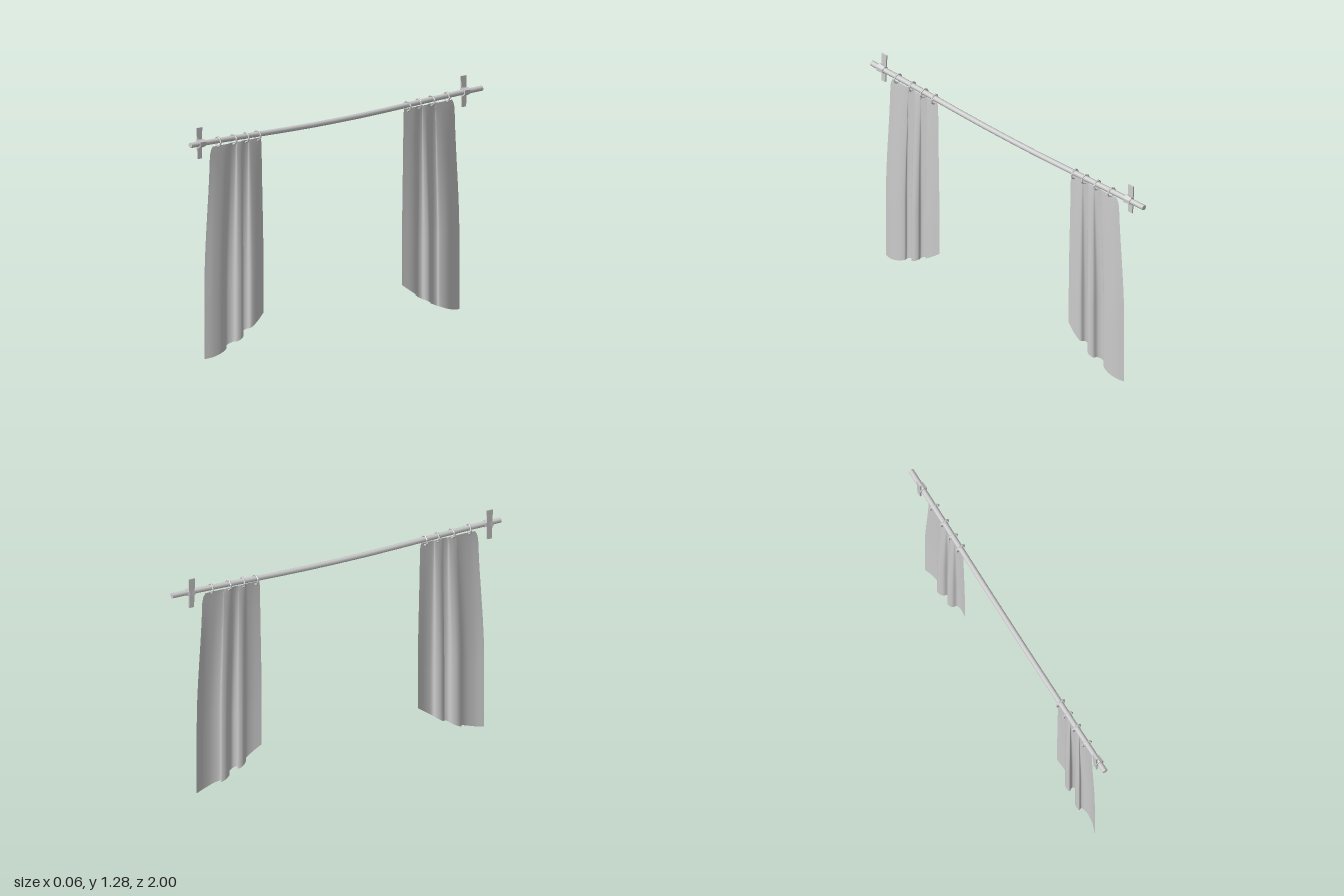
import * as THREE from 'three';

const CENTRE = 0.025; // the two curtains mirror each other about this z

// height of the sagging rod's axis at z
const rodY = (z) => 1.175 + 0.021 * THREE.MathUtils.smoothstep(Math.abs(z), 0.05, 1.05);

// pleat cross-section near the hem, as [z, x], from outer edge to inner edge
const PLEATS = [
  [0.9, -0.004], [0.85, 0.012], [0.79, 0.016], [0.752, 0.001], [0.757, -0.014], [0.73, -0.02],
  [0.702, -0.006], [0.692, 0.018], [0.665, 0.026], [0.645, 0.01], [0.653, -0.012],
  [0.63, -0.021], [0.605, -0.01], [0.595, 0.012], [0.56, 0.016], [0.5, 0.004],
];

function curtainGeometry(mirrored) {
  const curve = new THREE.CatmullRomCurve3(PLEATS.map(([z, x]) => new THREE.Vector3(x, 0, z)));
  const cols = 72, rows = 24;
  const geo = new THREE.PlaneGeometry(1, 1, cols, rows);
  const pos = geo.attributes.position;
  for (let j = 0; j <= rows; j++) {
    for (let i = 0; i <= cols; i++) {
      const p = curve.getPoint(i / cols);
      const t = Math.pow(j / rows, 1.3); // 0 at the heading, 1 at the hem
      const hem = 0.004 + 0.196 * Math.pow(Math.max(0, (0.9 - p.z) / 0.4), 1.6);
      const y = THREE.MathUtils.lerp(1.165, hem, t);
      // the cloth narrows and flattens towards the heading
      const gather = THREE.MathUtils.smoothstep(y, 0.4, 1.2);
      const corner = Math.pow(THREE.MathUtils.clamp((y - 1.1) / 0.065, 0, 1), 3);
      const outer = 0.9 - 0.036 * gather - 0.018 * corner;
      const inner = 0.5 + 0.012 * gather + 0.006 * corner;
      const z = inner + (outer - inner) * (p.z - 0.5) / 0.4;
      const depth = 0.12 + 0.88 * Math.pow(Math.min(1, (1.165 - y) / 0.75), 0.7);
      pos.setXYZ(j * (cols + 1) + i, p.x * depth, y, mirrored ? 2 * CENTRE - z : z);
    }
  }
  geo.computeVertexNormals();
  return geo;
}

export function createModel() {
  const model = new THREE.Group();
  const grey = new THREE.MeshStandardMaterial({ color: 0xcccccc });
  const faceted = new THREE.MeshStandardMaterial({ color: 0xcccccc, flatShading: true });
  const cloth = new THREE.MeshStandardMaterial({ color: 0xcccccc, side: THREE.DoubleSide });
  const add = (parent, name, geo, mat) => {
    const mesh = new THREE.Mesh(geo, mat);
    mesh.name = name;
    parent.add(mesh);
    return mesh;
  };

  // rod, bent by moving each vertex down with the sag
  const rod = new THREE.CylinderGeometry(0.015, 0.015, 2, 8, 12).rotateX(Math.PI / 2);
  const rp = rod.attributes.position;
  for (let i = 0; i < rp.count; i++) rp.setY(i, rp.getY(i) + rodY(rp.getZ(i)));
  add(model, 'rod', rod, grey);

  for (const mirrored of [false, true]) {
    const place = (z) => (mirrored ? 2 * CENTRE - z : z);
    const side = mirrored ? 'back' : 'front';

    add(model, side + 'Curtain', curtainGeometry(mirrored), cloth);

    // rings the cloth hangs from
    [0.81, 0.705, 0.617, 0.54].forEach((z, i) => {
      const ring = add(model, side + 'Ring', new THREE.TorusGeometry(0.027, 0.005, 5, 8), faceted);
      ring.position.set(0, rodY(place(z)) - 0.007, place(z));
      ring.rotation.set(0, (i % 2 ? 1 : -1) * 0.08, i * 0.35);
    });

    // bracket: wall plate with a collar round the rod
    const bracket = new THREE.Group();
    bracket.name = side + 'Bracket';
    bracket.position.set(0, rodY(0.92), mirrored ? -0.888 : 0.925);
    const plate = new THREE.BoxGeometry(0.008, 0.17, 0.036, 1, 4, 1);
    const pp = plate.attributes.position;
    for (let i = 0; i < pp.count; i++) {
      const h = pp.getY(i) / 0.085; // -1 at the bottom, 1 at the top
      pp.setX(i, pp.getX(i) - 0.016 - 0.002 * h);
      pp.setZ(i, pp.getZ(i) * (0.9 + 0.12 * h));
    }
    add(bracket, 'wallPlate', plate, faceted).position.y = -0.001;
    const collar = new THREE.CylinderGeometry(0.025, 0.021, 0.042, 6).rotateX(Math.PI / 2);
    add(bracket, 'collar', collar, faceted);
    model.add(bracket);
  }
  return model;
}
